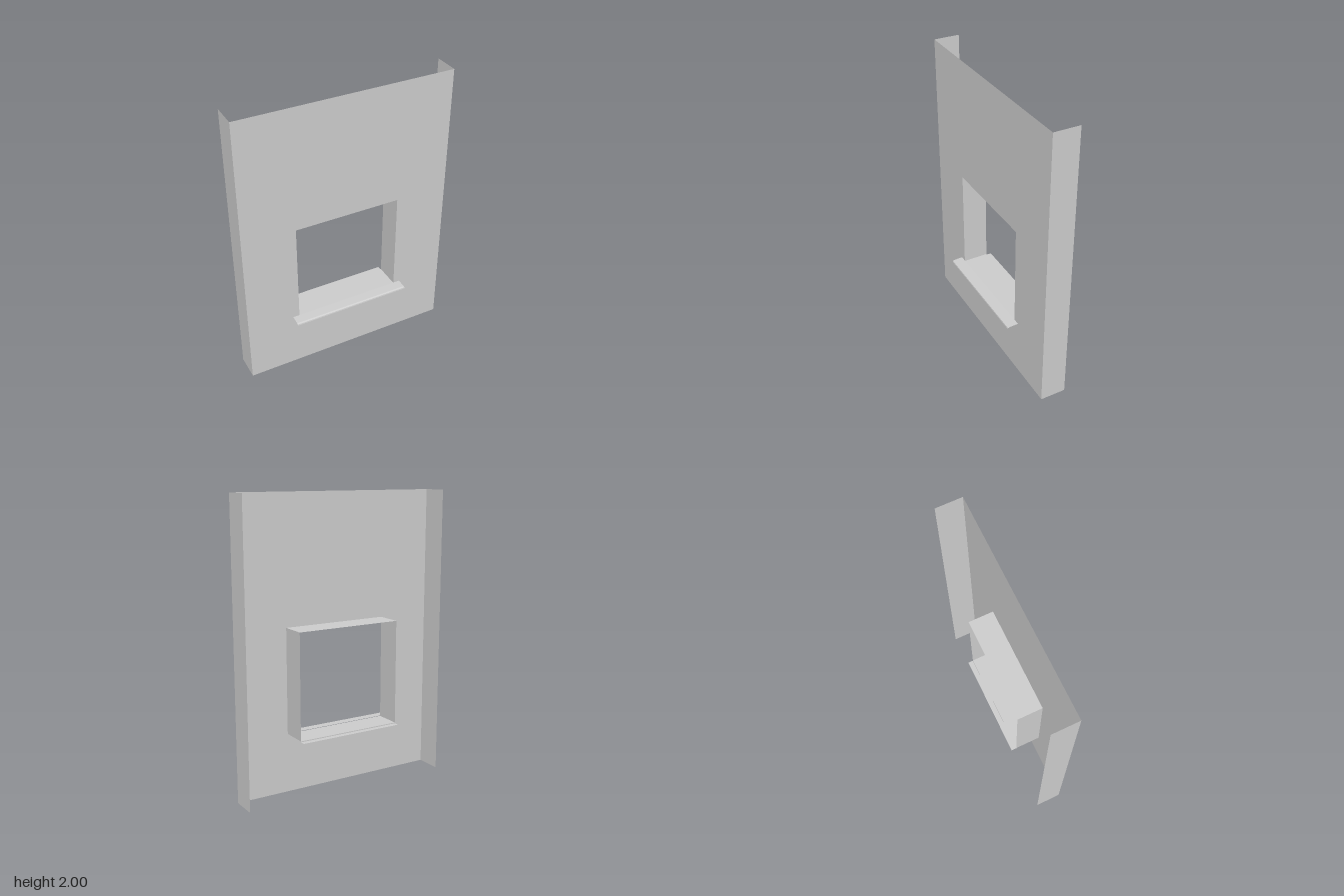
import * as THREE from 'three';

const material = new THREE.MeshStandardMaterial({ color: 0xcccccc, side: THREE.DoubleSide, flatShading: true });
const FRONT = 0.07, BACK = -0.11;
const WIDTH = 1.5, HEIGHT = 2;
const OPENING = { half: 0.375, bottom: 0.408, top: 1.13 };

// Thin sheet: a profile of [z, y] points swept across x
function foldedSheet(name, profile, width) {
  const position = [], index = [];
  profile.forEach(([z, y], i) => {
    position.push(-width / 2, y, z, width / 2, y, z);
    if (i > 0) {
      const a = 2 * (i - 1);
      index.push(a, a + 1, a + 3, a, a + 3, a + 2);
    }
  });
  const geometry = new THREE.BufferGeometry();
  geometry.setAttribute('position', new THREE.Float32BufferAttribute(position, 3));
  geometry.setIndex(index);
  geometry.computeVertexNormals();
  const mesh = new THREE.Mesh(geometry, material);
  mesh.name = name;
  return mesh;
}

// Upright sheet running from the wall face to the back edge
function sideSheet(name, x, bottom, top) {
  const mesh = new THREE.Mesh(new THREE.PlaneGeometry(FRONT - BACK, top - bottom), material);
  mesh.rotation.y = Math.sign(x) * Math.PI / 2;
  mesh.position.set(x, (bottom + top) / 2, (FRONT + BACK) / 2);
  mesh.name = name;
  return mesh;
}

export function createModel() {
  const group = new THREE.Group();
  group.name = 'wallPanelWithWindowOpening';

  // Wall face with the window opening
  const { half, bottom, top } = OPENING;
  const face = new THREE.Shape([
    new THREE.Vector2(-WIDTH / 2, 0), new THREE.Vector2(WIDTH / 2, 0),
    new THREE.Vector2(WIDTH / 2, HEIGHT), new THREE.Vector2(-WIDTH / 2, HEIGHT),
  ]);
  face.holes.push(new THREE.Path([
    new THREE.Vector2(-half, bottom), new THREE.Vector2(-half, top),
    new THREE.Vector2(half, top), new THREE.Vector2(half, bottom),
  ]));
  const wall = new THREE.Mesh(new THREE.ShapeGeometry(face), material);
  wall.position.z = FRONT;
  wall.name = 'wallFace';
  group.add(wall);

  // Wall returns and window jambs on both sides
  for (const [side, s] of [['left', 1], ['right', -1]]) {
    group.add(sideSheet(side + 'WallReturn', s * WIDTH / 2, 0, HEIGHT));
    group.add(sideSheet(side + 'Jamb', s * half, bottom, top));
  }

  // Head of the opening
  group.add(foldedSheet('windowHead', [[FRONT, top], [BACK, top]], 2 * half));

  // Sill inside the opening, stepping down to a small ledge at the back
  group.add(foldedSheet('innerSill',
    [[FRONT, bottom], [BACK, bottom], [BACK, 0.402], [-0.147, 0.402]], 2 * half));

  // Wider outer sill with a folded drip edge
  group.add(foldedSheet('outerSill',
    [[FRONT, 0.411], [0.135, 0.408], [0.145, 0.403], [0.147, 0.395]], 0.845));

  return group;
}
